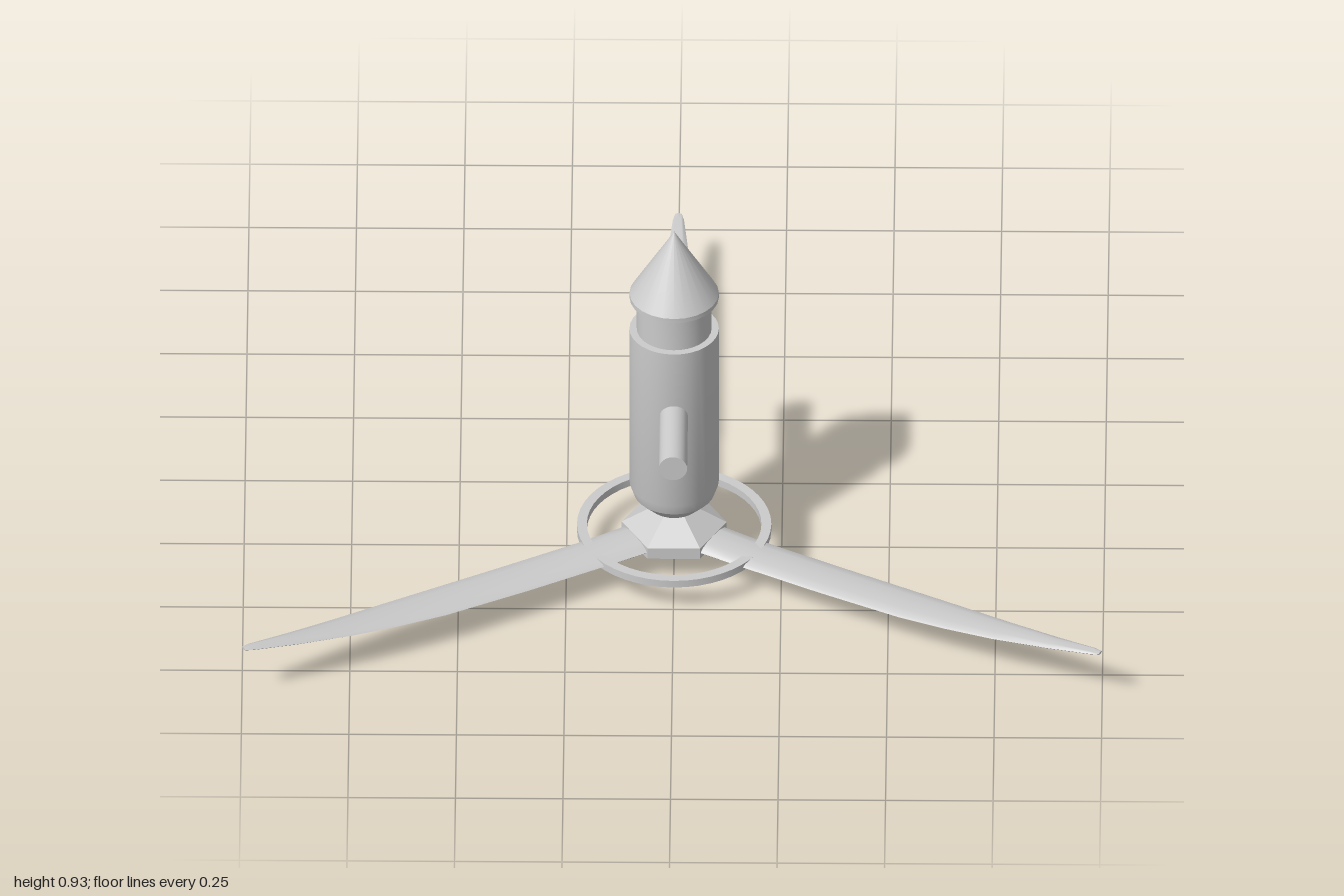
import * as THREE from 'three';
import { toCreasedNormals } from 'three/addons/utils/BufferGeometryUtils.js';

const material = new THREE.MeshStandardMaterial({ color: 0xcccccc, side: THREE.DoubleSide });

function addMesh(parent, name, geometry) {
  const mesh = new THREE.Mesh(geometry, material);
  mesh.name = name;
  parent.add(mesh);
  return mesh;
}

// Turned part from [radius, height] pairs, listed from bottom to top
function turned(profile, segments) {
  const points = profile.map(([r, y]) => new THREE.Vector2(r, y));
  return toCreasedNormals(new THREE.LatheGeometry(points, segments), 0.4);
}

// Blade along -z, lofted through lens-shaped sections
function bladeGeometry() {
  // distance from the axis, half width, bottom, top
  const stations = [
    [0.08, 0.058, 0.066, 0.096],
    [0.22, 0.056, 0.069, 0.091],
    [0.42, 0.056, 0.074, 0.093],
    [0.64, 0.054, 0.081, 0.1],
    [0.76, 0.048, 0.09, 0.107],
    [0.88, 0.039, 0.101, 0.116],
    [1.02, 0.025, 0.119, 0.131],
    [1.13, 0.013, 0.137, 0.145],
    [1.15, 0.008, 0.141, 0.146],
  ];
  const sides = 12;
  const positions = [];
  const index = [];
  for (const [r, w, low, high] of stations) {
    for (let j = 0; j < sides; j++) {
      const a = (j / sides) * Math.PI * 2;
      positions.push(w * Math.cos(a), (low + high) / 2 + ((high - low) / 2) * Math.sin(a), -r);
    }
  }
  for (let i = 0; i < stations.length - 1; i++) {
    for (let j = 0; j < sides; j++) {
      const a = i * sides + j;
      const b = i * sides + ((j + 1) % sides);
      index.push(a, a + sides, b, b, a + sides, b + sides);
    }
  }
  // Tip and root caps
  const last = (stations.length - 1) * sides;
  for (let j = 1; j < sides - 1; j++) {
    index.push(last, last + j + 1, last + j);
    index.push(0, j, j + 1);
  }
  const geometry = new THREE.BufferGeometry();
  geometry.setAttribute('position', new THREE.Float32BufferAttribute(positions, 3));
  geometry.setIndex(index);
  // Reverse the winding so that the faces point outwards
  for (let i = 0; i < index.length; i += 3) {
    geometry.index.setXYZ(i / 3, index[i], index[i + 2], index[i + 1]);
  }
  const ordered = [];
  for (let i = 0; i < index.length; i += 3) ordered.push(index[i], index[i + 1], index[i + 2]);
  geometry.setIndex(ordered);
  return toCreasedNormals(geometry, 0.9);
}

export function createModel() {
  const model = new THREE.Group();
  model.name = 'rotorUnit';
  const rotor = new THREE.Group();
  rotor.name = 'rotorAssembly';
  rotor.position.z = 0.285;
  model.add(rotor);

  // Motor casing with chamfered bottom and stepped neck
  addMesh(rotor, 'motorBody', turned([
    [0, 0.135], [0.03, 0.137], [0.06, 0.15], [0.094, 0.185], [0.104, 0.215],
    [0.104, 0.652], [0.087, 0.652], [0.087, 0.745],
  ], 32));

  // Pointed cap with a narrow rim
  addMesh(rotor, 'noseCone', turned([
    [0, 0.742], [0.104, 0.742], [0.104, 0.754], [0, 0.93],
  ], 24));

  // Cross bar through the casing
  const bar = addMesh(rotor, 'crossBar', new THREE.CylinderGeometry(0.033, 0.033, 0.61, 24));
  bar.rotation.x = Math.PI / 2;
  bar.position.y = 0.47;

  // Six-sided hub: pointed below, tapering up to the casing
  const hub = addMesh(rotor, 'hub', toCreasedNormals(new THREE.LatheGeometry(
    [[0, 0], [0.122, 0.066], [0.122, 0.096], [0.045, 0.142], [0, 0.142]]
      .map(([r, y]) => new THREE.Vector2(r, y)), 6), 0.1));
  hub.rotation.y = Math.PI / 6;

  // Flat stiffening ring around the hub
  addMesh(rotor, 'ring', turned([
    [0.203, 0.071], [0.226, 0.071], [0.226, 0.09], [0.203, 0.09], [0.203, 0.071],
  ], 48));

  // Three equally spaced blades
  const blade = bladeGeometry();
  for (let i = 0; i < 3; i++) {
    addMesh(rotor, 'blade' + (i + 1), blade).rotation.y = (i * Math.PI * 2) / 3;
  }
  return model;
}
